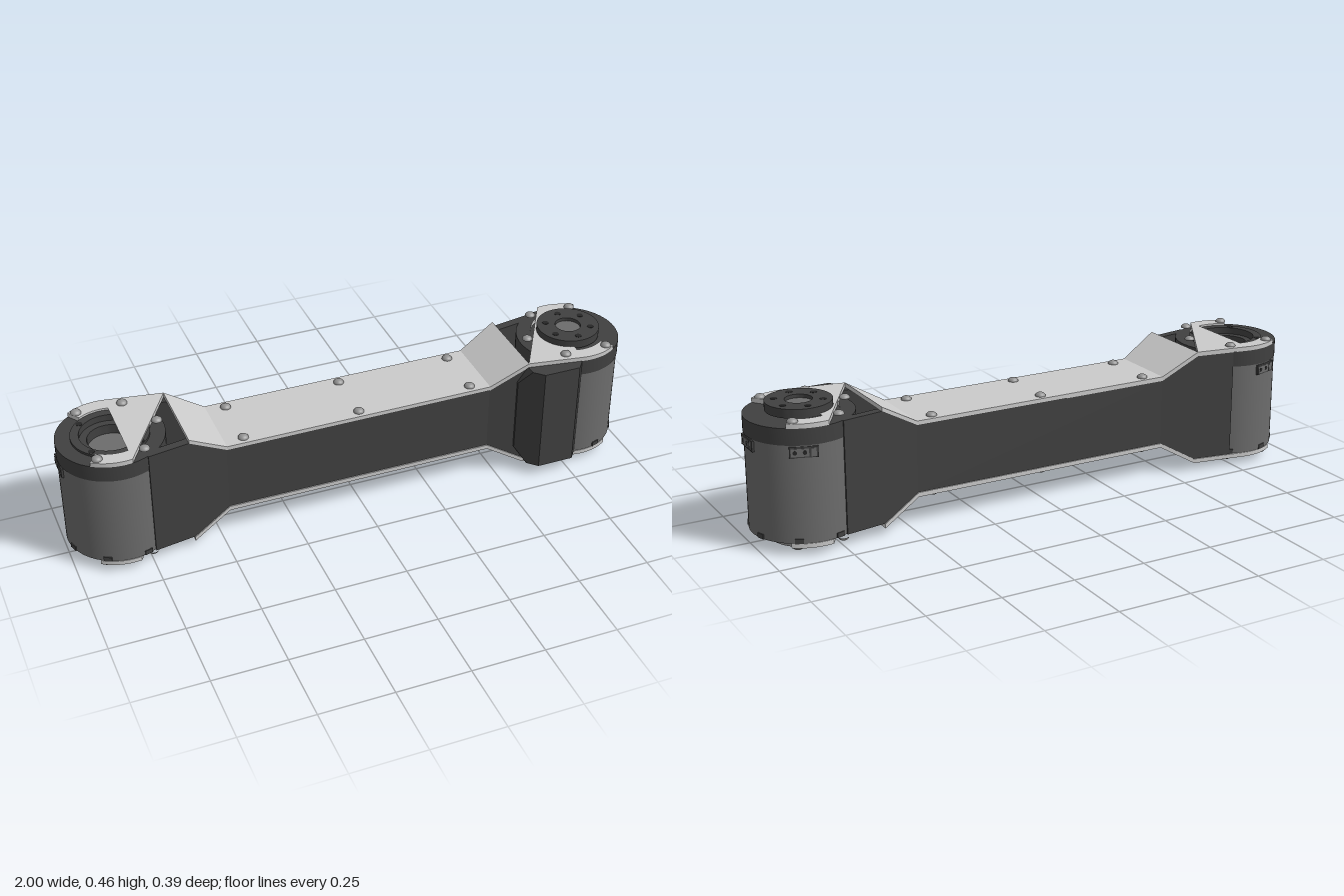
import * as THREE from 'three';
import { toCreasedNormals } from 'three/addons/utils/BufferGeometryUtils.js';

const Z0 = -0.017, MID = 0.23, CX = 0.821, R = 0.178;
const material = (name, color) => Object.assign(new THREE.MeshStandardMaterial({ color }), { name });

// Boxy strip through stations [x, yLow, yHigh, zBack, zFront]
function loft(stations) {
  const pos = [];
  const quad = (a, b, c, d) => pos.push(...a, ...b, ...c, ...a, ...c, ...d);
  const rings = stations.map(([x, y0, y1, z0, z1]) => [[x, y0, z1], [x, y1, z1], [x, y1, z0], [x, y0, z0]]);
  for (let i = 0; i < rings.length - 1; i++) {
    const a = rings[i], b = rings[i + 1];
    for (let k = 0; k < 4; k++) {
      const n = (k + 1) % 4;
      quad(a[k], b[k], b[n], a[n]);
    }
  }
  const s = rings[0], e = rings[rings.length - 1];
  quad(s[0], s[1], s[2], s[3]);
  quad(e[3], e[2], e[1], e[0]);
  const g = new THREE.BufferGeometry();
  g.setAttribute('position', new THREE.Float32BufferAttribute(pos, 3));
  g.computeVertexNormals();
  return g;
}

function lathe(points, segments = 64) {
  return toCreasedNormals(new THREE.LatheGeometry(points.map(p => new THREE.Vector2(...p)), segments), 0.6);
}

export function createModel() {
  const root = new THREE.Group();
  root.name = 'armLink';
  const plateMat = material('light aluminium', 0xcbcbcb);
  const darkMat = material('dark plastic', 0x404040);
  const bodyMat = material('motor grey', 0x6c6c6c);
  const steelMat = material('steel', 0x929292);
  const blackMat = material('black', 0x262626);

  const add = (parent, name, geo, mat, x = 0, y = 0, z = 0) => {
    const m = new THREE.Mesh(geo, mat);
    m.name = name;
    m.position.set(x, y, z);
    parent.add(m);
    return m;
  };
  const ring = (n, r, fn, start = 0) => {
    for (let i = 0; i < n; i++) {
      const a = start + i * Math.PI * 2 / n;
      fn(Math.cos(a) * r, Math.sin(a) * r, a);
    }
  };

  // Link outline: half height of the web and half width along x
  const halfHeight = x => 0.115 + 0.075 * THREE.MathUtils.clamp((Math.abs(x) - 0.47) / 0.13, 0, 1);
  const halfWidth = x => 0.123 + 0.164 * Math.max(0, Math.abs(x) - 0.47);
  const T = 0.015;

  // Bent cover plates, top and bottom
  const bends = [-0.601, -0.47, 0.47, 0.601];
  for (const s of [1, -1]) {
    add(root, s > 0 ? 'topPlate' : 'bottomPlate', loft(bends.map(x => {
      const a = MID + s * halfHeight(x), b = a + s * T, w = halfWidth(x);
      return [x, Math.min(a, b), Math.max(a, b), Z0 - w, Z0 + w];
    })), plateMat);
  }

  // Dark side walls between the plates
  for (const s of [1, -1]) {
    add(root, s > 0 ? 'frontWall' : 'backWall', loft([-0.74, -0.6, -0.47, 0.47, 0.6, 0.74].map(x => {
      const h = halfHeight(x), w = halfWidth(x) - 0.004;
      const a = Z0 + s * w, b = Z0 + s * (w - 0.03);
      return [x, MID - h, MID + h, Math.min(a, b), Math.max(a, b)];
    })), darkMat);
  }

  // Cable cover bulging from the front wall
  add(root, 'cableCover', loft([
    [0.565, 0.096, 0.364, 0.1, 0.125], [0.6, 0.04, 0.42, 0.1, 0.16],
    [0.632, 0.04, 0.42, 0.1, 0.192], [0.762, 0.04, 0.42, 0.1, 0.192], [0.787, 0.04, 0.42, 0.1, 0.16],
  ]), darkMat);

  // Domed screws
  const dome = new THREE.SphereGeometry(0.018, 20, 8, 0, Math.PI * 2, 0, Math.PI / 2);
  dome.scale(1, 0.72, 1);
  const screw = (x, z, h) => {
    for (const s of [1, -1]) {
      const m = add(root, 'screw', dome, steelMat, x, MID + s * (h + T), Z0 + z);
      if (s < 0) m.rotation.x = Math.PI;
    }
  };
  for (const x of [-0.405, 0, 0.405]) for (const z of [-0.093, 0.093]) screw(x, z, 0.115);
  for (const s of [1, -1]) {
    screw(s * 0.665, 0, 0.19);
    for (const dx of [-0.077, 0.077]) for (const z of [-0.136, 0.136]) screw(s * CX + dx, z, 0.19);
  }

  // Open C-shaped plate ends around the motors
  const rad = THREE.MathUtils.degToRad, pad = new THREE.Shape();
  pad.moveTo(-0.221, -0.144);
  pad.absarc(0, 0, R, rad(-99), rad(-55), false);
  pad.absarc(0, 0, 0.128, rad(-55), rad(55), true);
  pad.absarc(0, 0, R, rad(55), rad(99), false);
  pad.lineTo(-0.221, 0.144);
  const padGeo = new THREE.ExtrudeGeometry(pad, { depth: T, bevelEnabled: false, curveSegments: 32 });
  padGeo.rotateX(Math.PI / 2);

  const bodyGeo = lathe([[0, 0.04], [R - 0.002, 0.04], [R - 0.002, 0.365], [0, 0.365]]);
  const hole = new THREE.CylinderGeometry(0.011, 0.011, 0.003, 16);

  for (const s of [1, -1]) {
    const end = new THREE.Group();
    end.name = s > 0 ? 'leftMotor' : 'rightMotor';
    end.position.set(s * CX, 0, Z0);
    if (s < 0) end.rotation.y = Math.PI;
    root.add(end);
    add(end, 'topPlateEnd', padGeo, plateMat, 0, 0.435, 0);
    add(end, 'bottomPlateEnd', padGeo, plateMat, 0, 0.04, 0);
    add(end, 'motorBody', bodyGeo, bodyMat);

    // Latch tabs round the foot of the motor
    ring(8, R - 0.003, (x, z, a) => {
      const tab = add(end, 'latchTab', new THREE.BoxGeometry(0.008, 0.016, 0.028), darkMat, x, 0.048, z);
      tab.rotation.y = -a;
    }, 0.47);

    // Cable sockets under the cap
    for (const a of [0, s * -1.25]) {
      const socket = new THREE.Group();
      socket.name = 'socket';
      socket.rotation.y = -a;
      end.add(socket);
      add(socket, 'socketFrame', new THREE.BoxGeometry(0.02, 0.036, 0.09), darkMat, R - 0.0105, 0.343, 0);
      add(socket, 'socketFace', new THREE.BoxGeometry(0.004, 0.026, 0.056), bodyMat, R - 0.001, 0.342, 0.012);
      add(socket, 'signalFace', new THREE.BoxGeometry(0.004, 0.028, 0.016), bodyMat, R - 0.001, 0.342, -0.031);
      for (const z of [-0.003, 0.028]) {
        const pin = add(socket, 'socketPin', new THREE.CylinderGeometry(0.007, 0.007, 0.003, 12), blackMat, R + 0.0005, 0.342, z);
        pin.rotation.z = Math.PI / 2;
      }
    }
  }
  const [left, right] = ['leftMotor', 'rightMotor'].map(n => root.getObjectByName(n));

  // Left motor: solid cap, raised output flange and a lower flange
  add(left, 'cap', lathe([[0, 0.365], [R, 0.365], [R, 0.42], [0, 0.42]]), darkMat);
  add(left, 'flangeNeck', new THREE.CylinderGeometry(0.06, 0.06, 0.012, 40), blackMat, 0, 0.425, 0);
  add(left, 'outputFlange', lathe([[0.044, 0.428], [0.108, 0.428], [0.108, 0.458], [0.044, 0.458], [0.044, 0.428]]), darkMat);
  add(left, 'flangeHub', new THREE.CylinderGeometry(0.044, 0.044, 0.016, 32), bodyMat, 0, 0.438, 0);
  ring(6, 0.078, (x, z) => add(left, 'boltHole', hole, blackMat, x, 0.4575, z), Math.PI / 6);
  add(left, 'lowerFlange', lathe([[0.05, 0.04], [0.05, 0], [0.108, 0], [0.108, 0.04]]), steelMat);
  add(left, 'lowerFlangeFloor', new THREE.CylinderGeometry(0.05, 0.05, 0.02, 32), darkMat, 0, 0.03, 0);
  add(left, 'lowerRing', new THREE.CylinderGeometry(0.127, 0.127, 0.006, 48), darkMat, 0, 0.037, 0);
  ring(6, 0.08, (x, z) => add(left, 'boltHole', hole, blackMat, x, 0.001, z), Math.PI / 6);

  // Right motor: cap with a stepped opening and a flush lower disc
  add(right, 'cap', lathe([[R, 0.365], [R, 0.42], [0.128, 0.42], [0.128, 0.428], [0.1, 0.428],
    [0.1, 0.405], [0.076, 0.405], [0.076, 0.365]]), darkMat);
  add(right, 'openingFloor', new THREE.CylinderGeometry(0.076, 0.076, 0.01, 40), bodyMat, 0, 0.366, 0);
  ring(4, 0.114, (x, z) => add(right, 'boltHole', hole, blackMat, x, 0.4275, z), Math.PI / 4);
  add(right, 'lowerDisc', lathe([[0.035, 0.04], [0.035, 0.03], [0.118, 0.03], [0.118, 0.04]]), darkMat);
  add(right, 'lowerDiscHub', new THREE.CylinderGeometry(0.02, 0.02, 0.01, 24), steelMat, 0, 0.036, 0);
  ring(8, 0.078, (x, z) => add(right, 'boltHole', hole, bodyMat, x, 0.0295, z));

  return root;
}
